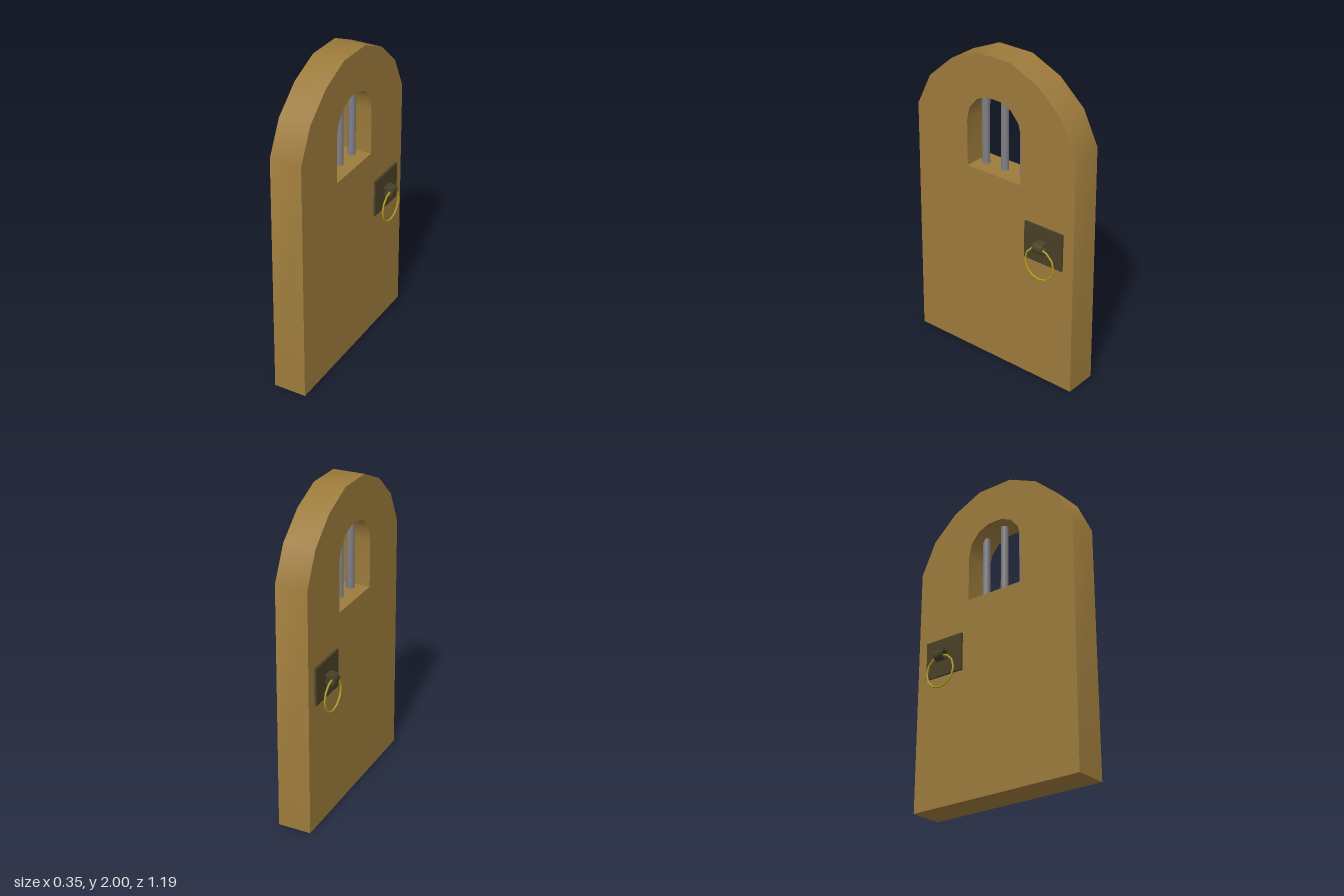
import * as THREE from 'three';
import { toCreasedNormals } from 'three/addons/utils/BufferGeometryUtils.js';

const mat = (name, color) => {
  const m = new THREE.MeshStandardMaterial({ color });
  m.name = name;
  return m;
};

function addMesh(parent, name, geometry, material) {
  const mesh = new THREE.Mesh(geometry, material);
  mesh.name = name;
  parent.add(mesh);
  return mesh;
}

// Closed arch outline from half of its points, mirrored across the middle
function archPoints(half) {
  const mirrored = half.map(([u, v]) => [-u, v]).reverse();
  return [...half, ...mirrored].map(([u, v]) => new THREE.Vector2(u, v));
}

export function createModel() {
  const model = new THREE.Group();
  model.name = 'archedDoor';
  const wood = mat('wood', 0x9c7a3b);
  const iron = mat('dark iron', 0x494026);
  const steel = mat('grey steel', 0x808084);
  const brass = mat('brass', 0xb39c1c);

  // Door slab with an arched window, slightly thinner at the top
  const outline = new THREE.Shape(archPoints(
    [[0.593, 0], [0.583, 1.56], [0.483, 1.765], [0.317, 1.913], [0.12, 2]]));
  outline.holes.push(new THREE.Path(archPoints(
    [[0.2, 1.27], [0.2, 1.57], [0.18, 1.65], [0.125, 1.715], [0.05, 1.747]])));
  let slab = new THREE.ExtrudeGeometry(outline, { depth: 0.21, bevelEnabled: false });
  slab.translate(0, 0, -0.105);
  slab.rotateY(Math.PI / 2);
  const p = slab.attributes.position;
  for (let i = 0; i < p.count; i++) p.setX(i, p.getX(i) * (1 - 0.033 * p.getY(i)));
  slab = toCreasedNormals(slab, 0.6);
  addMesh(model, 'doorSlab', slab, wood);

  // Window bars
  for (const [z, top] of [[-0.143, 1.71], [0, 1.755], [0.143, 1.71]]) {
    const height = top - 1.265;
    const bar = addMesh(model, 'windowBar', new THREE.CylinderGeometry(0.024, 0.024, height, 12), steel);
    bar.position.set(0, 1.265 + height / 2, z);
  }

  // Curled strap that carries the ring
  const strap = new THREE.Shape();
  strap.moveTo(0.1, 0.972);
  strap.lineTo(0.143, 0.972);
  strap.absarc(0.143, 0.939, 0.033, Math.PI / 2, -Math.PI * 0.95, true);
  strap.absarc(0.143, 0.939, 0.02, -Math.PI * 0.95, Math.PI / 2, false);
  strap.lineTo(0.1, 0.959);
  const strapGeometry = toCreasedNormals(
    new THREE.ExtrudeGeometry(strap, { depth: 0.066, bevelEnabled: false, curveSegments: 6 })
      .translate(0, 0, -0.033), 0.8);

  // The same handle on both faces
  for (const [name, turn] of [['leftHandle', 0], ['rightHandle', Math.PI]]) {
    const handle = new THREE.Group();
    handle.name = name;
    handle.position.z = -0.377;
    handle.rotation.y = turn;
    model.add(handle);

    const plate = addMesh(handle, 'handlePlate', new THREE.BoxGeometry(0.03, 0.24, 0.274), iron);
    plate.position.set(0.1, 0.94, 0);
    addMesh(handle, 'ringStrap', strapGeometry, iron);
    const ring = addMesh(handle, 'pullRing', new THREE.TorusGeometry(0.104, 0.006, 6, 12), brass);
    ring.rotation.y = Math.PI / 2;
    ring.position.set(0.147, 0.835, 0);
  }
  return model;
}
